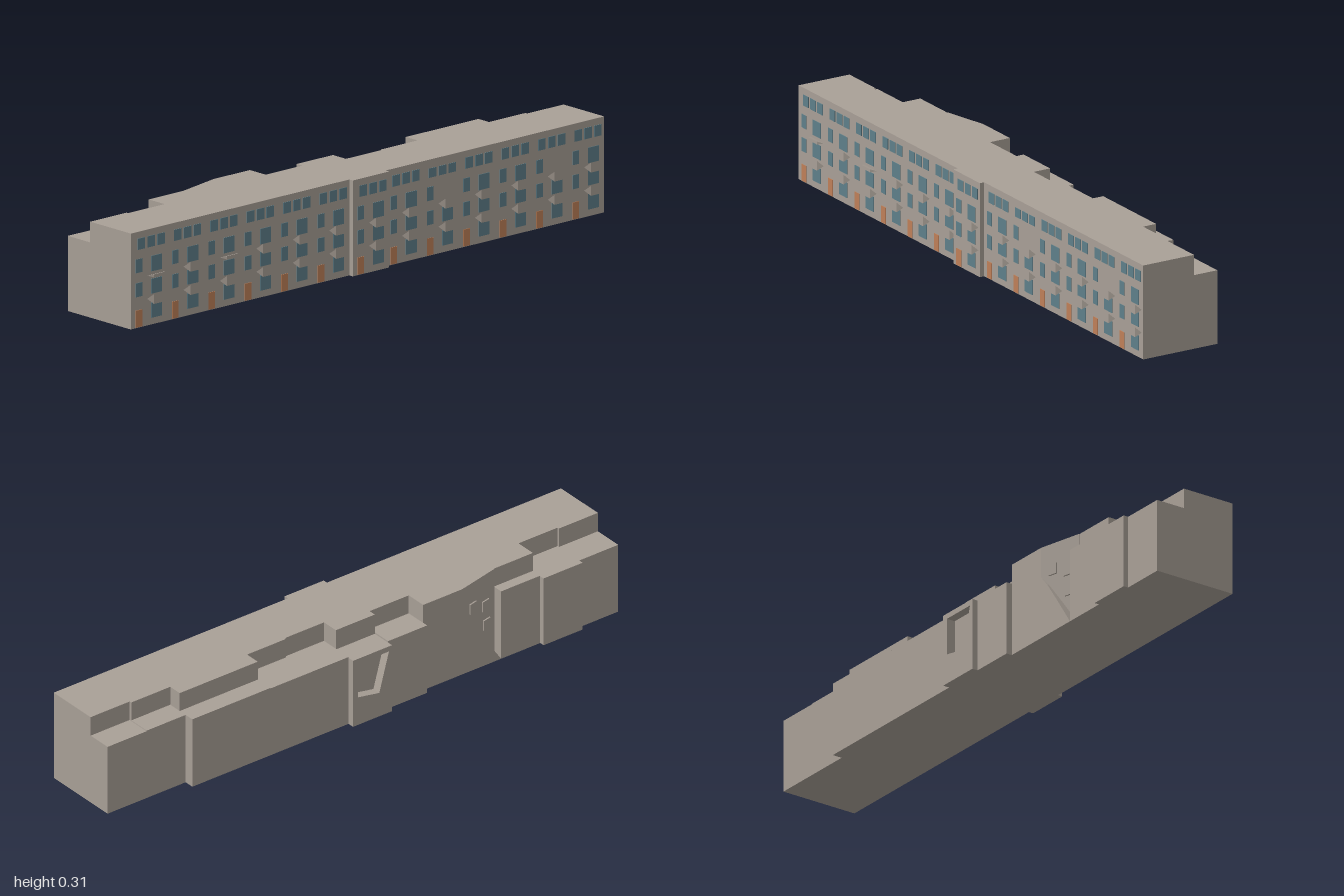
import * as THREE from 'three';

const mat = (name, color) => {
  const m = new THREE.MeshStandardMaterial({ color });
  m.name = name;
  return m;
};

export function createModel() {
  const stone = mat('stone', 0xa9a097);
  const glass = mat('glass', 0x5f7f8a);
  const wood = mat('doorWood', 0xbf8058);
  const model = new THREE.Group();
  model.name = 'terraceRow';

  const add = (name, geo, material, parent = model) => {
    const mesh = new THREE.Mesh(geo, material);
    mesh.name = name;
    parent.add(mesh);
    return mesh;
  };
  // Box given by its two opposite corners
  const block = (name, x0, x1, y0, y1, z0, z1, material = stone, parent = model) => {
    const mesh = add(name, new THREE.BoxGeometry(x1 - x0, y1 - y0, z1 - z0), material, parent);
    mesh.position.set((x0 + x1) / 2, (y0 + y1) / 2, (z0 + z1) / 2);
    return mesh;
  };

  const W = 2 / 13, TOP = 0.31, FRONT = 0.15;
  const edge = (i) => -1 + i * W;

  // House sections: first unit, end unit, upper back z, lower back z, lower roof height
  const sections = [
    [0, 1, -0.037, -0.14, 0.243],
    [1, 2, -0.03, -0.157, 0.243],
    [2, 3, -0.103, -0.14, 0.245],
    [3, 4, -0.105, -0.105, 0.245],
    [4, 5, -0.14, -0.14, 0.245],
    [5, 6, -0.067, -0.16, 0.245],
    [6, 7, -0.093, -0.15, 0.24],
    [7, 8, -0.033, -0.157, 0.243],
    [8, 9, -0.039, -0.157, 0.243],
    [9, 11, -0.093, -0.157, 0.245],
    [11, 12, -0.045, -0.123, 0.245],
    [12, 13, -0.037, -0.123, 0.243],
  ];
  for (const [a, b, zUp, zLow, h] of sections) {
    const zf = a === 6 ? 0.166 : FRONT;
    block('houseBody', edge(a), edge(b), 0, TOP, zUp, zf);
    if (zLow < zUp) block('rearExtension', edge(a), edge(b), 0, h, zLow, zUp);
  }

  // Slanted rear wall with a triangular wall piece below it
  const xa = edge(3), xb = edge(4);
  const plan = new THREE.Shape([[xa, 0.105], [xb, 0.105], [xb, 0.14]].map((p) => new THREE.Vector2(...p)));
  const slant = add('slantedRearWall', new THREE.ExtrudeGeometry(plan, { depth: TOP, bevelEnabled: false }), stone);
  slant.rotation.x = -Math.PI / 2;
  const tri = new THREE.Shape([[xa, 0], [xb, 0], [xb, 0.21], [xb - 0.035, 0.17], [xb - 0.085, 0.1]]
    .map((p) => new THREE.Vector2(...p)));
  const low = add('lowerRearWall', new THREE.ExtrudeGeometry(tri, { depth: 0.035, bevelEnabled: false }), stone);
  low.position.z = -0.14;
  const slope = 0.035 / W;
  for (const [x, y] of [[-0.495, 0.2], [-0.435, 0.22], [-0.5, 0.13]]) {
    const pane = add('rearWindow', new THREE.BoxGeometry(0.032, 0.036, 0.006), stone);
    pane.position.set(x, y, -0.105 - (x - xa) * slope - 0.002);
    pane.rotation.y = Math.atan(slope);
  }

  // Partly open rear porch of the central house
  const c0 = edge(6), c1 = edge(7);
  block('porchLintel', c0, c1, 0.222, 0.24, -0.18, -0.15);
  block('porchSideWall', c1 - 0.02, c1, 0, 0.222, -0.18, -0.15);
  const porch = new THREE.Shape([[c0, 0], [c1 - 0.02, 0], [c1 - 0.02, 0.1], [c0 + 0.05, 0.085], [c0 + 0.012, 0.222], [c0, 0.222]]
    .map((p) => new THREE.Vector2(...p)));
  add('porchWall', new THREE.ExtrudeGeometry(porch, { depth: 0.03, bevelEnabled: false }), stone).position.z = -0.18;

  // Balcony: upright outer panel tapering back to a wider line on the wall
  const balconyGeometry = (half) => {
    const o = 0.024, w = 0.038, d = 0.016;
    const A = [-o, -half, d], B = [o, -half, d], C = [o, half, d], D = [-o, half, d];
    const L = [-w, 0, 0], R = [w, 0, 0];
    const faces = [A, B, C, A, C, D, D, C, R, D, R, L, A, L, R, A, R, B, B, R, C, A, D, L];
    const geo = new THREE.BufferGeometry();
    geo.setAttribute('position', new THREE.Float32BufferAttribute(faces.flat(), 3));
    geo.computeVertexNormals();
    return geo;
  };
  const fullBalcony = balconyGeometry(0.016), thinBalcony = balconyGeometry(0.005);

  // Street front, repeated for every house
  for (let i = 0; i < 13; i++) {
    const unit = new THREE.Group();
    unit.name = 'houseFront';
    unit.position.set(edge(i), 0, i === 6 ? 0.166 : FRONT);
    model.add(unit);
    const plate = (name, x, w, y0, y1, m) =>
      block(name, x - w / 2, x + w / 2, y0, y1, -0.002, 0.002, m, unit);

    plate('door', 0.033, 0.027, 0.002, 0.057, wood);
    plate('sideWindow', 0.033, 0.027, 0.1, 0.145, glass);
    plate('sideWindow', 0.033, 0.027, 0.178, 0.222, glass);

    const topY = i === 8 ? 0.282 : 0.288;
    for (const x of [0.043, 0.085, 0.126]) plate('atticWindow', x, 0.031, 0.252, topY, glass);

    const lowUnit = i === 8 || i === 11;
    plate('bayWindow', 0.107, 0.045, 0.022, 0.072, glass);
    plate('bayWindow', 0.107, 0.045, 0.1, 0.148, glass);
    if (!lowUnit) plate('bayWindow', 0.107, 0.045, 0.172, 0.222, glass);

    const thin = i === 0 || i === 2;
    add('balcony', thin ? thinBalcony : fullBalcony, stone, unit).position.set(0.107, 0.161, 0);
    add('balcony', fullBalcony, stone, unit).position.set(0.107, 0.086, 0);
  }
  return model;
}
